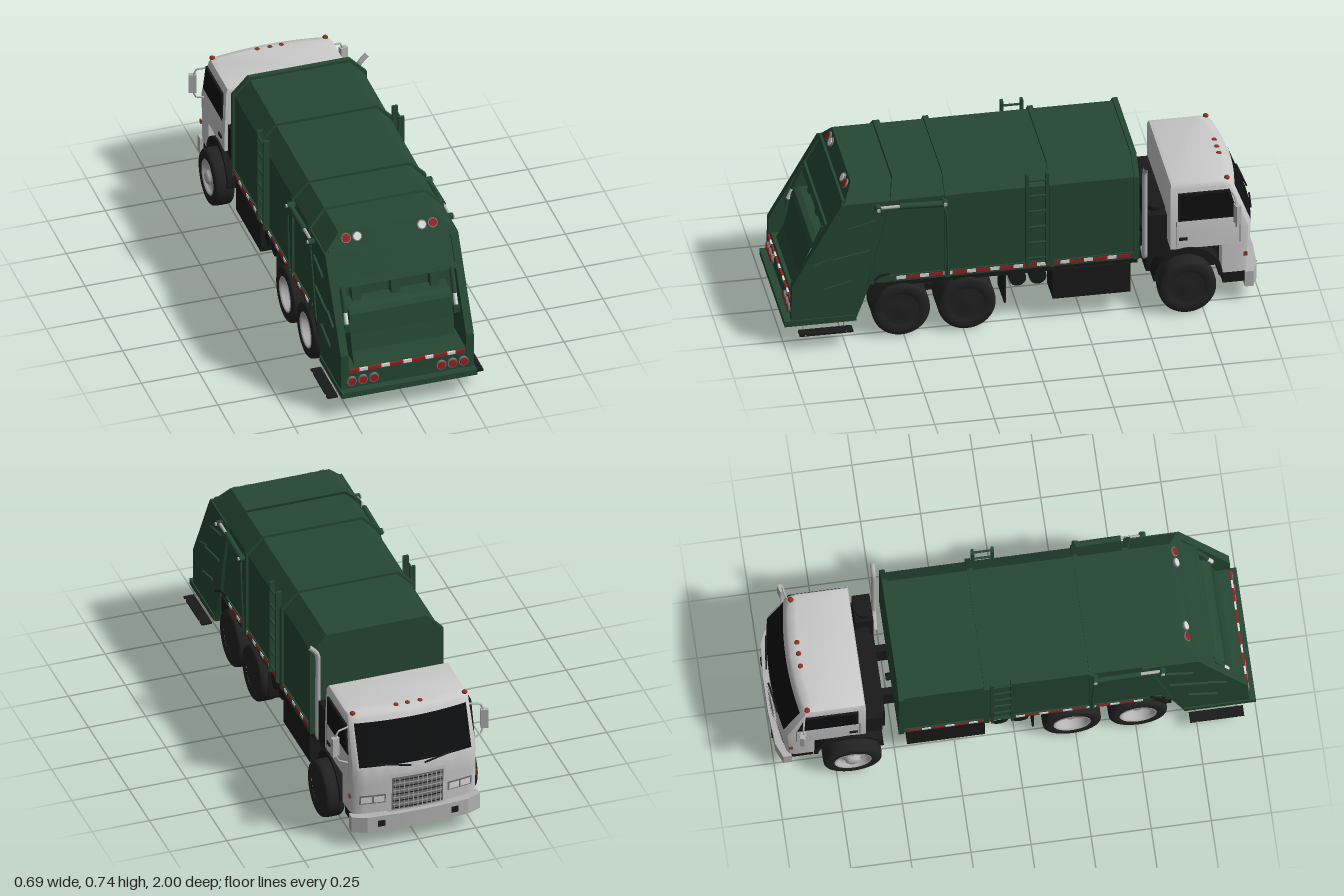
import * as THREE from 'three';
import { toCreasedNormals } from 'three/addons/utils/BufferGeometryUtils.js';
import { ConvexGeometry } from 'three/addons/geometries/ConvexGeometry.js';

const paint = (name, color, side = THREE.FrontSide) => {
  const m = new THREE.MeshStandardMaterial({ color, side });
  m.name = name;
  return m;
};
const V = (x, y, z) => new THREE.Vector3(x, y, z);
const SIDES = [-1, 1];

export function createModel() {
  const green = paint('body green', 0x264834), white = paint('cab white', 0xcacaca);
  const black = paint('chassis black', 0x1a1a1a), rubber = paint('tyre rubber', 0x222222);
  const glass = paint('dark glass', 0x0e0f10), chrome = paint('chrome', 0xb4b4b4);
  const grey = paint('trim grey', 0x747474), red = paint('reflector red', 0x9c1f1f);
  const pale = paint('reflector white', 0xdedede), amber = paint('marker amber', 0x8f3318);

  const truck = new THREE.Group();
  truck.name = 'refuseTruck';
  const add = (name, geo, mat, x = 0, y = 0, z = 0) => {
    const m = new THREE.Mesh(geo, mat);
    m.name = name;
    m.position.set(x, y, z);
    truck.add(m);
    return m;
  };
  // box given by its x, y and z limits
  const box = (name, mat, x0, x1, y0, y1, z0, z1) => add(name,
    new THREE.BoxGeometry(Math.abs(x1 - x0), y1 - y0, z1 - z0), mat, (x0 + x1) / 2, (y0 + y1) / 2, (z0 + z1) / 2);
  // side profile of [z, y] points, extruded between two x positions
  const prof = (name, mat, pts, x0, x1) => {
    const s = new THREE.Shape(pts.map(p => new THREE.Vector2(...p)));
    const g = new THREE.ExtrudeGeometry(s, { depth: Math.abs(x1 - x0), bevelEnabled: false });
    return add(name, g.rotateY(-Math.PI / 2).translate(Math.max(x0, x1), 0, 0), mat);
  };
  const hull = (name, mat, pts, crease = 0.5) => add(name, toCreasedNormals(new ConvexGeometry(pts), crease), mat);
  const rod = (name, mat, a, b, r, n = 12) => {
    const m = add(name, new THREE.CylinderGeometry(r, r, a.distanceTo(b), n), mat);
    m.position.copy(a).lerp(b, 0.5);
    m.quaternion.setFromUnitVectors(V(0, 1, 0), b.clone().sub(a).normalize());
    return m;
  };
  const pipe = (name, mat, pts, r) => add(name,
    new THREE.TubeGeometry(new THREE.CatmullRomCurve3(pts, false, 'catmullrom', 0.15), 32, r, 10), mat);

  // Load body with chamfered top and a sloping rear joint
  const outline = o => [[0.28 + o, 0.262], [0.28 + o, 0.652 + o * 0.4], [0.215 + o * 0.4, 0.722 + o]];
  const joint = y => 0.525 + (0.73 - y) * 0.244;
  const band = (name, zf, zb, o) => hull(name, green, outline(o).flatMap(([x, y]) =>
    SIDES.flatMap(s => [V(s * x, y, zf(y)), V(s * x, y, zb(y))])), 0.2);
  band('loadBody', () => -0.485, joint, 0);
  for (const z of [-0.475, -0.12, 0.318]) band('bodyRib', () => z - 0.011, () => z + 0.011, 0.012);
  band('jointRib', y => joint(y) - 0.012, y => joint(y) + 0.014, 0.013);
  for (const s of SIDES) {
    // Ladders
    for (const z of [-0.015, -0.098]) box('ladderRail', green, s * 0.28, s * 0.305, 0.285, 0.725, z - 0.006, z + 0.006);
    for (let y = 0.32; y < 0.72; y += 0.075) rod('ladderRung', green, V(s * 0.3, y, -0.1), V(s * 0.3, y, -0.015), 0.005, 8);
    // Lower rail and reflector strip
    box('lowerRail', green, s * 0.27, s * 0.286, 0.262, 0.292, -0.48, 0.61);
    for (let i = 0; i < 10; i++) {
      const z = -0.45 + i * 0.098;
      box('redReflector', red, s * 0.284, s * 0.289, 0.272, 0.287, z, z + 0.06);
      box('whiteReflector', pale, s * 0.284, s * 0.289, 0.272, 0.287, z + 0.06, z + 0.098);
    }
    // Tailgate lift rams
    rod('liftRam', green, V(s * 0.3, 0.625, 0.33), V(s * 0.3, 0.632, 0.52), 0.013);
    rod('liftRamRod', chrome, V(s * 0.3, 0.632, 0.52), V(s * 0.3, 0.632, 0.61), 0.007);
    for (const z of [0.33, 0.61]) {
      rod('ramPin', green, V(s * 0.27, 0.63, z), V(s * 0.313, 0.63, z), 0.014);
      rod('ramPinCap', chrome, V(s * 0.313, 0.63, z), V(s * 0.319, 0.63, z), 0.008);
    }
    pipe('hydraulicHose', green, [V(s * 0.3, 0.62, 0.34), V(s * 0.308, 0.58, 0.325), V(s * 0.304, 0.4, 0.318), V(s * 0.3, 0.28, 0.318)], 0.005);
    pipe('latchLever', black, [V(s * 0.285, 0.3, 0.56), V(s * 0.3, 0.305, 0.6), V(s * 0.312, 0.29, 0.63)], 0.005);
  }

  // Tailgate: upper hood, raised side plates, hopper
  const rear = y => 0.71 + (0.72 - y) * 0.584;
  hull('tailgateHood', green, SIDES.flatMap(s => [
    V(s * 0.215, 0.724, 0.53), V(s * 0.215, 0.724, 0.71), V(s * 0.282, 0.655, 0.545), V(s * 0.282, 0.655, rear(0.655)),
    V(s * 0.282, 0.53, 0.575), V(s * 0.282, 0.53, rear(0.53))]), 0.1);
  for (const s of SIDES) {
    prof('tailgateSide', green, [[0.545, 0.655], [rear(0.655) + 0.012, 0.655], [0.968, 0.283], [0.972, 0.1], [0.7, 0.1], [0.635, 0.278]], s * 0.255, s * 0.288);
    // Diagonal stiffeners
    for (const [z, y, l] of [[0.62, 0.56, 0.12], [0.64, 0.42, 0.16], [0.72, 0.28, 0.12], [0.8, 0.4, 0.08]])
      prof('sideStiffener', green, [[z, y], [z + l, y - 0.03], [z + l, y - 0.022], [z, y + 0.01]], s * 0.287, s * 0.297);
    // Hopper rams
    rod('hopperRam', green, V(s * 0.237, 0.53, 0.825), V(s * 0.237, 0.43, 0.87), 0.011);
    rod('hopperRamRod', pale, V(s * 0.237, 0.43, 0.87), V(s * 0.237, 0.385, 0.89), 0.009);
    box('hopperRamFoot', green, s * 0.224, s * 0.25, 0.35, 0.385, 0.84, 0.9);
    // Rear side steps
    box('sideStep', black, s * 0.293, s * 0.338, 0.068, 0.076, 0.72, 0.945);
    for (const z of [0.75, 0.92]) pipe('stepBracket', chrome, [V(s * 0.286, 0.11, z), V(s * 0.29, 0.072, z), V(s * 0.342, 0.072, z)], 0.004);
  }
  prof('hoodBeam', green, [[rear(0.665) - 0.01, 0.665], [rear(0.665) + 0.012, 0.665], [rear(0.65) + 0.012, 0.65], [rear(0.65) - 0.01, 0.65]], -0.27, 0.27);
  prof('hopperLip', green, [[rear(0.545) - 0.02, 0.545], [rear(0.545) + 0.01, 0.545], [rear(0.525) + 0.01, 0.525], [rear(0.525) - 0.02, 0.525]], -0.255, 0.255);
  prof('hopperBack', green, [[0.58, 0.54], [0.765, 0.54], [0.81, 0.2], [0.66, 0.2]], -0.256, 0.256);
  for (const x of [-0.17, 0, 0.17]) prof('hopperRib', green, [[0.75, 0.53], [0.8, 0.53], [0.82, 0.44], [0.77, 0.44]], x - 0.019, x + 0.019);
  prof('packerBlade', green, [[0.78, 0.445], [0.845, 0.447], [0.868, 0.438], [0.88, 0.42], [0.895, 0.33], [0.915, 0.26], [0.945, 0.21], [0.78, 0.2]], -0.222, 0.222);
  prof('hopperSill', green, [[0.7, 0.1], [0.968, 0.1], [0.968, 0.195], [0.958, 0.214], [0.7, 0.214]], -0.256, 0.256);
  box('rearLip', green, -0.293, 0.293, 0.094, 0.12, 0.7, 1);
  box('undersidePlate', black, -0.285, 0.285, 0.09, 0.094, 0.7, 0.99);
  for (let i = -2; i <= 2; i++) {
    box('rearWhiteReflector', pale, i * 0.095 - 0.018, i * 0.095 + 0.018, 0.198, 0.211, 0.965, 0.973);
    for (const s of SIDES) box('rearRedReflector', red, i * 0.095 + s * 0.018, i * 0.095 + s * (Math.abs(i) === 2 && s * i > 0 ? 0.062 : 0.0475), 0.198, 0.211, 0.965, 0.973);
  }
  const lamp = (x, y, z, mat, tilt) => {
    const ring = add('lampBezel', new THREE.CylinderGeometry(0.021, 0.021, 0.012, 24), grey, x, y, z);
    const lens = new THREE.Mesh(new THREE.CylinderGeometry(0.0165, 0.0175, 0.018, 24), mat);
    lens.name = 'lampLens';
    ring.add(lens);
    ring.rotation.x = tilt;
  };
  for (const s of SIDES) {
    for (const x of [0.146, 0.194, 0.242]) lamp(s * x, 0.157, 0.972, red, Math.PI / 2);
    lamp(s * 0.188, 0.698, rear(0.698) + 0.003, red, 1.043);
    lamp(s * 0.14, 0.698, rear(0.698) + 0.003, pale, 1.043);
  }

  // Cab: hulls of bowed plan outlines
  const frontZ = (x, y) => (y < 0.36 ? -0.975 - (y - 0.15) * 0.048 : -0.985 + (y - 0.36) * 0.381) + 0.4 * x * x;
  const ring = (y, w, zb, dz = 0) => {
    const pts = [];
    for (let i = -8; i <= 8; i++) { const x = i / 8 * (w - 0.022); pts.push(V(x, y, frontZ(x, y) + dz)); }
    for (const s of SIDES) pts.push(V(s * (w - 0.006), y, frontZ(w, y) + dz + 0.008), V(s * w, y, frontZ(w, y) + dz + 0.028), V(s * w, y, zb));
    return pts;
  };
  hull('cabUpper', white, [...ring(0.28, 0.275, -0.62), ...ring(0.36, 0.275, -0.62), ...ring(0.565, 0.268, -0.62),
    ...ring(0.58, 0.26, -0.625, 0.008), ...ring(0.588, 0.235, -0.64, 0.035)], 0.6);
  hull('cabLower', white, [...ring(0.145, 0.275, -0.835), ...ring(0.281, 0.275, -0.835)], 0.6);
  // Panels that follow the bowed cab front
  const panel = (name, mat, x, y, w, h, off) => {
    const g = new THREE.PlaneGeometry(w, h, 16, 2).rotateY(Math.PI).translate(x, y, 0), p = g.attributes.position;
    for (let i = 0; i < p.count; i++) p.setZ(i, frontZ(p.getX(i), p.getY(i)) - off);
    g.computeVertexNormals();
    return add(name, g, mat);
  };
  panel('windscreen', glass, 0, 0.463, 0.49, 0.178, 0.004);
  panel('grilleSurround', white, 0, 0.237, 0.25, 0.185, 0.009);
  panel('grille', grey, 0, 0.235, 0.225, 0.16, 0.012);
  for (let i = 0; i < 9; i++) panel('grilleSlat', i % 2 ? chrome : black, 0, 0.166 + i * 0.017, 0.215, 0.005, 0.015);
  for (let i = -5; i <= 5; i++) panel('grilleBar', chrome, i * 0.02, 0.235, 0.003, 0.155, 0.016);
  for (const s of SIDES) {
    panel('headlampBezel', grey, s * 0.19, 0.215, 0.11, 0.042, 0.005);
    for (const x of [0.164, 0.216]) panel('headlamp', pale, s * x, 0.215, 0.044, 0.03, 0.008);
    rod('wiper', black, V(s * 0.03, 0.365, frontZ(0.03, 0.365) - 0.01), V(s * 0.17, 0.385, frontZ(0.17, 0.385) - 0.01), 0.004, 6);
    box('cornerMarker', amber, s * 0.274, s * 0.28, 0.22, 0.238, -0.94, -0.925);
    // Doors
    prof('sideWindowFrame', black, [[-0.652, 0.412], [-0.652, 0.545], [-0.868, 0.545], [-0.906, 0.412]], s * 0.266, s * 0.2765);
    prof('sideWindow', glass, [[-0.66, 0.42], [-0.66, 0.537], [-0.862, 0.537], [-0.896, 0.42]], s * 0.27, s * 0.279);
    box('doorHandle', black, s * 0.27, s * 0.281, 0.322, 0.334, -0.69, -0.655);
    for (const z of [-0.645, -0.91]) box('doorSeam', grey, s * 0.272, s * 0.2762, 0.29, 0.41, z - 0.0015, z + 0.0015);
    // Mirrors
    const mirror = box('mirror', chrome, s * 0.31, s * 0.343, 0.413, 0.5, -0.9, -0.88);
    mirror.rotation.y = s * 0.3;
    pipe('mirrorArm', chrome, [V(s * 0.265, 0.53, -0.875), V(s * 0.31, 0.525, -0.885), V(s * 0.326, 0.49, -0.885),
      V(s * 0.326, 0.42, -0.885), V(s * 0.31, 0.385, -0.89), V(s * 0.27, 0.37, -0.9)], 0.004);
  }
  for (const x of [-0.25, -0.055, 0, 0.05, 0.24]) {
    const m = add('roofMarker', new THREE.SphereGeometry(0.012, 12, 8), amber, x, 0.584, -0.862);
    m.scale.y = 0.8;
  }
  // Bumper with fog lamps
  hull('bumper', chrome, [0.07, 0.143].flatMap(y => [V(0.28, y, -0.93), V(-0.28, y, -0.93), V(0.28, y, -0.965), V(-0.28, y, -0.965),
    V(0.22, y, -0.99), V(-0.22, y, -0.99), V(0.08, y, -1), V(-0.08, y, -1)]), 0.2);
  for (const s of SIDES) box('fogLamp', black, s * 0.145, s * 0.175, 0.095, 0.122, -0.9985, -0.99);
  box('cabFloor', black, -0.265, 0.265, 0.09, 0.146, -0.94, -0.84);
  box('engineTunnel', black, -0.2, 0.2, 0.14, 0.285, -0.84, -0.53);
  box('engineBlock', black, -0.26, 0.14, 0.26, 0.41, -0.62, -0.55);
  box('airCleaner', black, 0.15, 0.27, 0.25, 0.45, -0.605, -0.53);
  rod('airIntake', black, V(0.2, 0.43, -0.565), V(0.2, 0.47, -0.565), 0.035, 20);
  pipe('exhaustStack', chrome, [V(0.18, 0.245, -0.52), V(0.25, 0.245, -0.515), V(0.268, 0.27, -0.513), V(0.268, 0.5, -0.513),
    V(0.268, 0.655, -0.513), V(0.278, 0.68, -0.513), V(0.308, 0.71, -0.513)], 0.011).material = chrome;

  // Chassis and running gear
  for (const s of SIDES) {
    box('frameRail', black, s * 0.08, s * 0.11, 0.15, 0.262, -0.93, 0.69);
    box('sideBox', black, s * 0.15, s * 0.28, 0.1, 0.24, -0.45, -0.125);
    box('bodySkirt', black, s * 0.13, s * 0.275, 0.235, 0.263, -0.48, 0.64);
    for (const z of [0.02, -0.065]) rod('airTank', black, V(s * 0.12, 0.21, z), V(s * 0.27, 0.21, z), 0.036, 20);
    box('mudFlap', black, s * 0.13, s * 0.275, 0.1, 0.25, 0.07, 0.078);
    box('rearSkirt', black, s * 0.265, s * 0.276, 0.17, 0.262, 0.57, 0.65);
    // Front wheel arch
    const arch = new THREE.Shape();
    arch.absarc(-0.692, 0.14, 0.145, 0, Math.PI, false);
    arch.absarc(-0.692, 0.14, 0.128, Math.PI, 0, true);
    const g = new THREE.ExtrudeGeometry(arch, { depth: 0.1, bevelEnabled: false, curveSegments: 24 });
    add('frontFender', g.rotateY(-Math.PI / 2).translate(s > 0 ? 0.285 : -0.185, 0, 0), black);
    box('leafSpring', black, s * 0.11, s * 0.15, 0.12, 0.15, 0.15, 0.6);
  }
  for (const z of [-0.4, -0.15, 0.1, 0.37, 0.64]) box('crossMember', black, -0.09, 0.09, 0.17, 0.23, z - 0.02, z + 0.02);
  rod('driveShaft', black, V(0, 0.17, -0.5), V(0, 0.125, 0.5), 0.016);
  box('rearCrossBar', black, -0.12, 0.12, 0.065, 0.1, 0.64, 0.67);

  // Wheels: bright rims on the right, plain dark hubs on the left
  const lathe = pts => new THREE.LatheGeometry(pts.map(p => new THREE.Vector2(...p)), 40).rotateZ(-Math.PI / 2);
  const tyre = lathe([[0.075, -0.038], [0.092, -0.043], [0.113, -0.041], [0.12, -0.034], [0.122, -0.02], [0.122, 0.02],
    [0.12, 0.034], [0.113, 0.041], [0.092, 0.043], [0.075, 0.038]]);
  const dish = d => lathe([[0.079, 0.038], [0.074, 0.042], [0.068, 0.034], [0.062, d], [0.035, d], [0.03, d + 0.022], [0.018, d + 0.03], [0, d + 0.03]].reverse());
  const cap = lathe([[0.08, 0.036], [0.07, 0.03], [0.03, 0.035], [0, 0.036]].reverse());
  const rimPaint = paint('chrome', 0xb4b4b4, THREE.DoubleSide), capPaint = paint('tyre rubber', 0x222222, THREE.DoubleSide);
  const wheel = (s, x, z, depth) => {
    const w = new THREE.Group();
    w.name = 'wheel';
    w.position.set(s * x, 0.122, z);
    if (s < 0) w.rotation.y = Math.PI;
    const parts = [['tyre', tyre, rubber], ['innerHub', cap.clone().rotateY(Math.PI), capPaint],
      s < 0 && depth !== null ? ['rim', dish(depth), rimPaint] : ['outerHub', cap, capPaint]];
    for (const [n, g, m] of parts) {
      const p = new THREE.Mesh(g, m);
      p.name = n;
      w.add(p);
    }
    truck.add(w);
  };
  for (const s of SIDES) {
    wheel(s, 0.29, -0.682, 0.018);
    for (const z of [0.51, 0.235]) { wheel(s, 0.17, z, null); wheel(s, 0.252, z, -0.015); }
  }
  for (const z of [-0.682, 0.235, 0.51]) {
    rod('axle', black, V(-0.25, 0.122, z), V(0.25, 0.122, z), 0.02);
    if (z > 0) add('differential', new THREE.SphereGeometry(0.05, 20, 14), black, 0, 0.125, z);
  }
  return truck;
}
